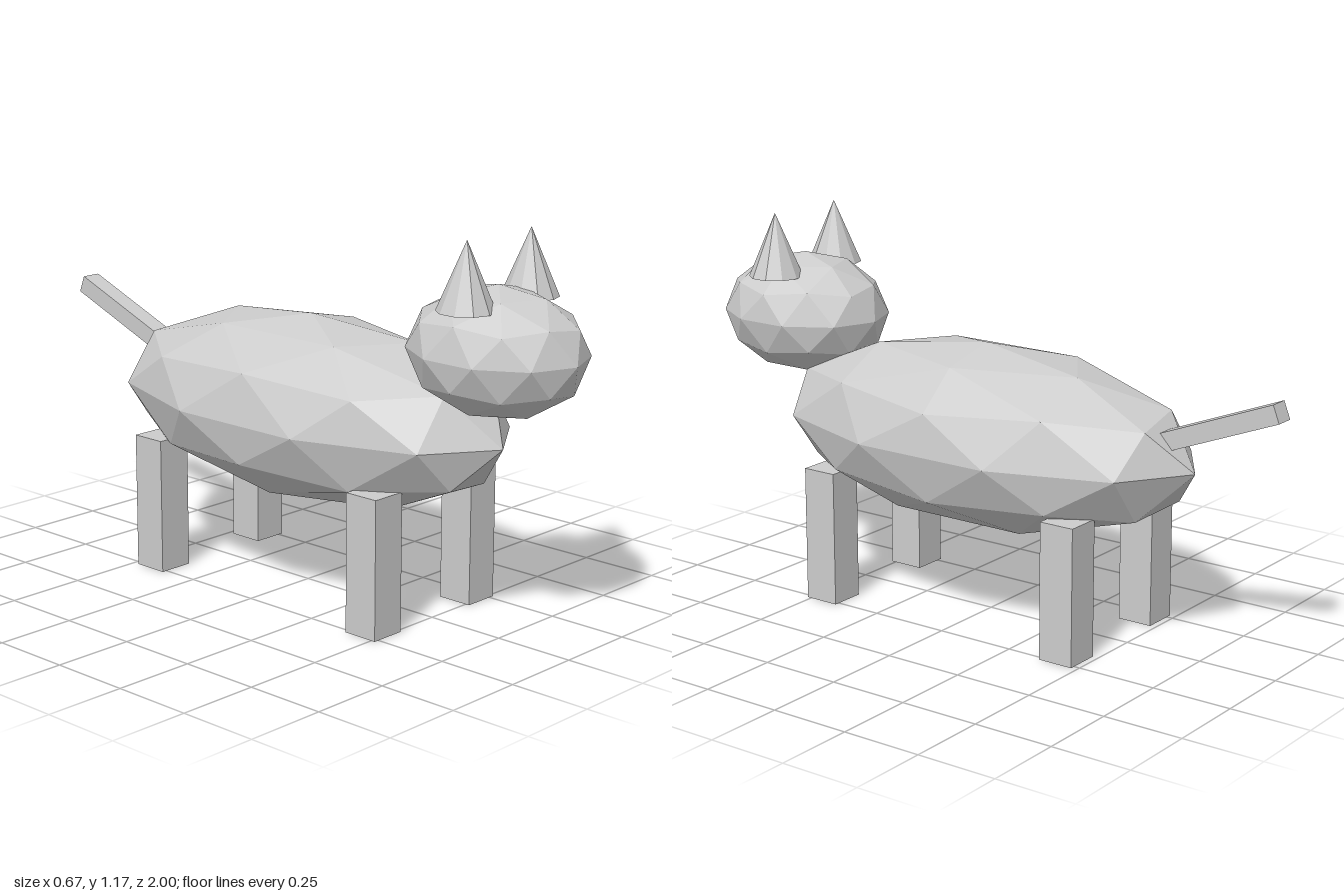
import * as THREE from 'three';

const grey = new THREE.MeshStandardMaterial({ color: 0xcccccc, flatShading: true });
grey.name = 'light grey';

export function createModel() {
  const model = new THREE.Group();
  model.name = 'cat';

  const add = (name, geometry, x, y, z) => {
    const mesh = new THREE.Mesh(geometry, grey);
    mesh.name = name;
    mesh.position.set(x, y, z);
    model.add(mesh);
    return mesh;
  };

  // Faceted ellipsoid with one icosahedron corner turned straight up
  const facetedBall = (rx, ry, rz) =>
    new THREE.IcosahedronGeometry(1, 1)
      .rotateZ(-Math.atan(2 / (1 + Math.sqrt(5))))
      .scale(rx, ry, rz);

  add('body', facetedBall(0.35, 0.28, 0.735), 0, 0.559, 0.016);
  add('head', facetedBall(0.228, 0.19, 0.277), 0, 0.839, 0.723);

  // Ears and legs, mirrored left and right
  for (const [side, s] of [['left', 1], ['right', -1]]) {
    add(side + 'Ear', new THREE.ConeGeometry(0.084, 0.197, 10), s * 0.14, 1.073, 0.723);
    for (const [end, z] of [['Front', 0.457], ['Back', -0.425]]) {
      add(side + end + 'Leg', new THREE.BoxGeometry(0.112, 0.42, 0.112), s * 0.21, 0.21, z);
    }
  }

  // Tail, rising backwards out of the rump
  const tail = add('tail', new THREE.BoxGeometry(0.061, 0.056, 0.42), 0, 0.71, -0.794);
  tail.rotation.x = THREE.MathUtils.degToRad(21.5);

  return model;
}
